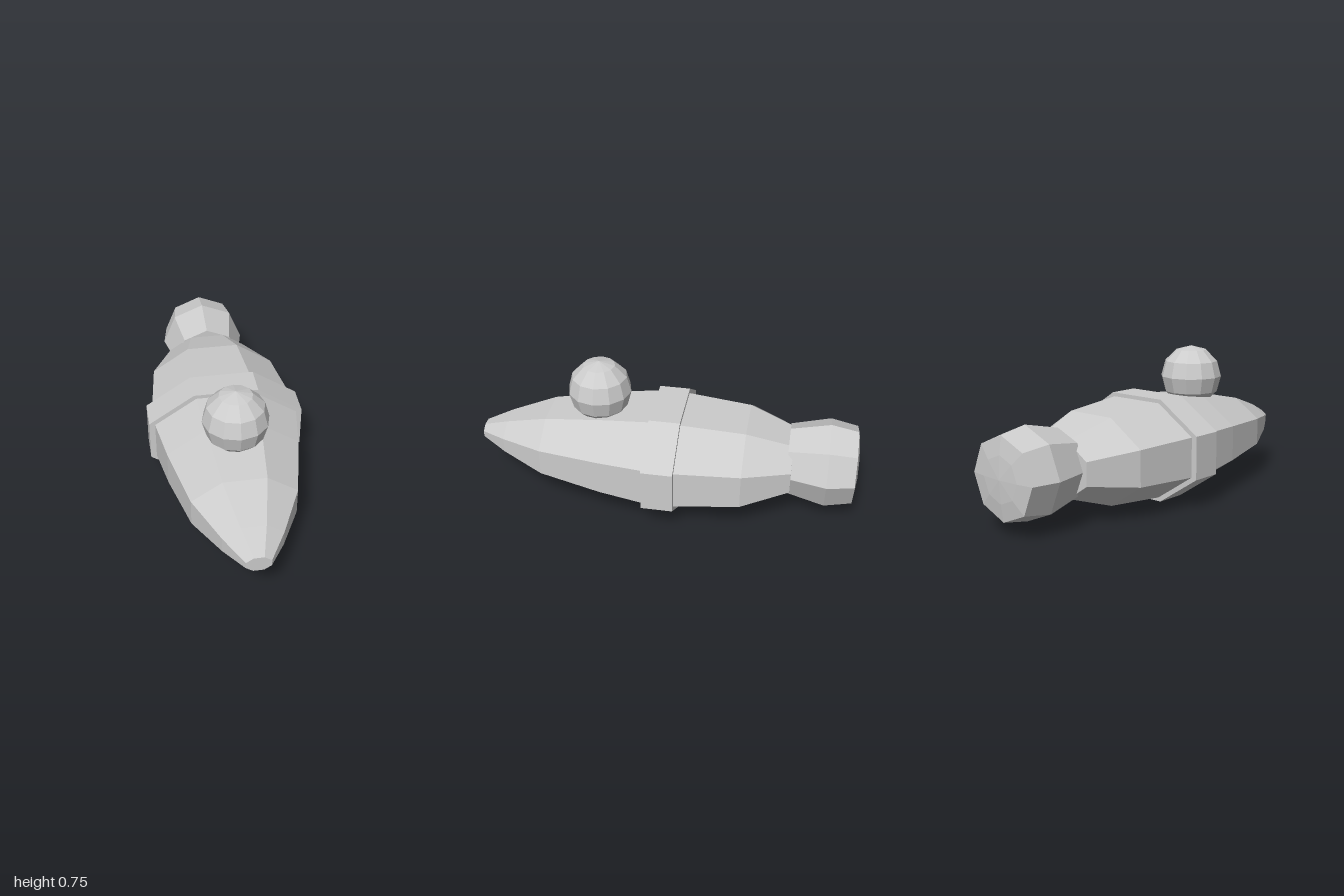
import * as THREE from 'three';

const grey = new THREE.MeshStandardMaterial({ color: 0xcccccc, flatShading: true });
grey.name = 'light grey';

// Closed eight-sided loft along z. Each section is [z, radiusX, radiusY], listed from front to back.
function octagonLoft(name, sections, turn, centreY) {
  const n = 8, pos = [];
  const point = ([z, rx, ry], i) => {
    const a = turn + (i / n) * Math.PI * 2;
    return [Math.cos(a) * rx, centreY + Math.sin(a) * ry, z];
  };
  const first = sections[0], last = sections[sections.length - 1];
  for (let i = 0; i < n; i++) {
    pos.push(0, centreY, first[0], ...point(first, i), ...point(first, i + 1));
    pos.push(0, centreY, last[0], ...point(last, i + 1), ...point(last, i));
    for (let s = 0; s < sections.length - 1; s++) {
      const a = point(sections[s], i), b = point(sections[s], i + 1);
      const c = point(sections[s + 1], i), d = point(sections[s + 1], i + 1);
      pos.push(...a, ...c, ...b, ...b, ...c, ...d);
    }
  }
  const geometry = new THREE.BufferGeometry();
  geometry.setAttribute('position', new THREE.Float32BufferAttribute(pos, 3));
  geometry.computeVertexNormals();
  const mesh = new THREE.Mesh(geometry, grey);
  mesh.name = name;
  return mesh;
}

export function createModel() {
  const model = new THREE.Group();
  model.name = 'podShip';

  // Flat-sided octagon sections given by half width; height is two thirds of width
  const flat = Math.PI / 8;
  const hullSection = ([z, halfWidth]) => {
    const r = halfWidth / Math.cos(flat);
    return [z, r, r * 0.665];
  };

  // Long tapering hull
  model.add(octagonLoft('hull', [
    [1, 0.06], [0.86, 0.145], [0.63, 0.258], [0.3, 0.333], [0.07, 0.37],
    [-0.09, 0.37], [-0.42, 0.33], [-0.66, 0.212],
  ].map(hullSection), flat, 0.266));

  // Raised belt around the middle
  model.add(octagonLoft('belt', [[0.07, 0.4], [-0.09, 0.4]].map(hullSection), flat, 0.266));

  // Engine pod with a shallow domed back
  model.add(octagonLoft('engine', [
    [-0.637, 0.183, 0.183], [-0.84, 0.23, 0.23], [-0.98, 0.203, 0.203],
    [-0.993, 0.115, 0.115], [-1, 0.002, 0.002],
  ], 0, 0.27));

  // Round cockpit on top of the nose
  const cockpit = new THREE.Mesh(new THREE.SphereGeometry(0.165, 12, 6), grey);
  cockpit.name = 'cockpit';
  cockpit.position.set(0, 0.588, 0.355);
  model.add(cockpit);

  return model;
}
